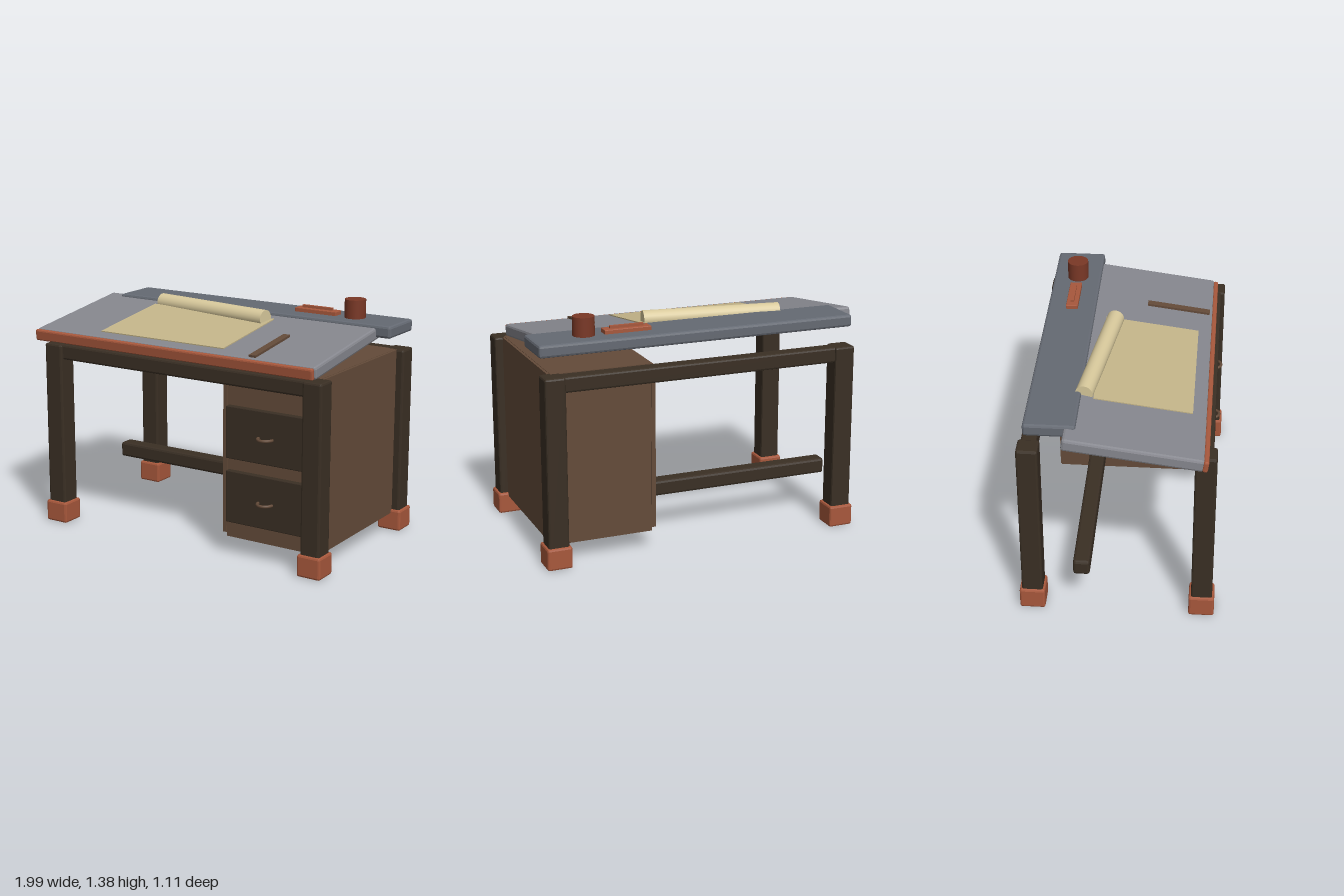
import * as THREE from 'three';
import { RoundedBoxGeometry } from 'three/addons/geometries/RoundedBoxGeometry.js';

const mat = (name, color) => {
  const m = new THREE.MeshStandardMaterial({ color });
  m.name = name;
  return m;
};

export function createModel() {
  const darkWood = mat('darkWood', 0x3a2f24);
  const brownWood = mat('brownWood', 0x644b39);
  const terracotta = mat('terracotta', 0xa8583c);
  const slate = mat('slate', 0x86878e);
  const darkSlate = mat('darkSlate', 0x656a73);
  const paperTan = mat('paperTan', 0xc5b68a);
  const rollTan = mat('rollTan', 0xd8c99c);
  const rust = mat('rust', 0x7a3826);

  const model = new THREE.Group();
  model.name = 'draftingDesk';

  const add = (parent, name, geometry, material, x, y, z) => {
    const mesh = new THREE.Mesh(geometry, material);
    mesh.name = name;
    mesh.position.set(x, y, z);
    parent.add(mesh);
    return mesh;
  };

  // Box given by its extents, with a narrow chamfer where bevel > 0
  const box = (parent, name, material, [x0, x1], [y0, y1], [z0, z1], bevel = 0) => {
    const w = x1 - x0, h = y1 - y0, d = z1 - z0;
    const geometry = bevel
      ? new RoundedBoxGeometry(w, h, d, 1, bevel)
      : new THREE.BoxGeometry(w, h, d);
    if (bevel) geometry.computeVertexNormals();
    return add(parent, name, geometry, material, (x0 + x1) / 2, (y0 + y1) / 2, (z0 + z1) / 2);
  };

  // Legs and block feet
  for (const x of [-0.83, 0.922]) {
    for (const z of [-0.483, 0.483]) {
      box(model, 'leg', darkWood, [x - 0.06, x + 0.06], [0.02, 1.1], [z - 0.06, z + 0.06], 0.012);
      box(model, 'foot', terracotta, [x - 0.073, x + 0.073], [0, 0.128], [z - 0.073, z + 0.073], 0.012);
    }
  }

  // Rails
  box(model, 'frontRail', darkWood, [-0.84, 0.93], [1.008, 1.098], [0.44, 0.522], 0.012);
  box(model, 'backRail', darkWood, [-0.84, 0.93], [1.008, 1.098], [-0.528, -0.44], 0.012);
  box(model, 'footRail', darkWood, [-0.865, 0.33], [0.232, 0.325], [-0.25, -0.155], 0.015);

  // Drawer cabinet
  const cabinet = new THREE.Group();
  cabinet.name = 'cabinet';
  model.add(cabinet);
  box(cabinet, 'cabinetBody', brownWood, [0.334, 0.92], [0.107, 1.1], [-0.445, 0.455]);
  box(cabinet, 'leftPanel', brownWood, [0.312, 0.336], [0.13, 1.09], [-0.45, 0.46]);
  box(cabinet, 'rightPanel', brownWood, [0.915, 0.935], [0.107, 1.098], [-0.45, 0.46]);
  for (const y of [0.355, 0.73]) {
    box(cabinet, 'drawerFront', darkWood, [0.345, 0.878], [y - 0.152, y + 0.152], [0.44, 0.485], 0.005);
    // Half-ring pull lying flat
    const pull = add(cabinet, 'drawerPull', new THREE.TorusGeometry(0.044, 0.009, 8, 20, Math.PI),
      brownWood, 0.61, y, 0.495);
    pull.rotation.x = Math.PI / 2;
  }

  // Tilted drawing board with everything that lies on its slope
  const board = new THREE.Group();
  board.name = 'drawingBoard';
  board.position.set(0, 1.18, 0.1);
  board.rotation.x = 0.133;
  model.add(board);
  box(board, 'boardPanel', slate, [-0.998, 0.905], [-0.036, 0.036], [-0.385, 0.375], 0.014);
  box(board, 'frontLip', terracotta, [-0.998, 0.897], [-0.035, 0.033], [0.37, 0.4], 0.01);
  box(board, 'paperSheet', paperTan, [-0.58, 0.272], [0.034, 0.042], [-0.255, 0.295]);
  box(board, 'ruler', brownWood, [0.476, 0.519], [0.034, 0.049], [-0.02, 0.355]);
  for (const x of [-0.69, 0.6]) {
    box(board, 'boardBrace', brownWood, [x - 0.035, x + 0.035], [-0.058, -0.034], [-0.325, 0.32]);
  }

  // Rolled sheet, a little askew
  const roll = new THREE.Group();
  roll.name = 'paperRoll';
  roll.position.set(-0.155, 1.264, -0.145);
  roll.rotation.y = -0.136;
  model.add(roll);
  const tube = add(roll, 'rolledSheet', new THREE.CylinderGeometry(0.05, 0.05, 0.815, 24), rollTan, 0, 0, 0);
  tube.rotation.z = Math.PI / 2;

  // Level rear shelf
  box(model, 'rearShelf', darkSlate, [-0.89, 0.996], [1.205, 1.276], [-0.5, -0.215], 0.014);

  // Pen tray and cup
  box(model, 'penTray', terracotta, [0.31, 0.584], [1.27, 1.3], [-0.391, -0.321], 0.004);
  box(model, 'trayPen', terracotta, [0.348, 0.546], [1.298, 1.315], [-0.367, -0.347]);
  add(model, 'cup', new THREE.CylinderGeometry(0.062, 0.062, 0.115, 24), rust, 0.696, 1.3275, -0.355);

  return model;
}
